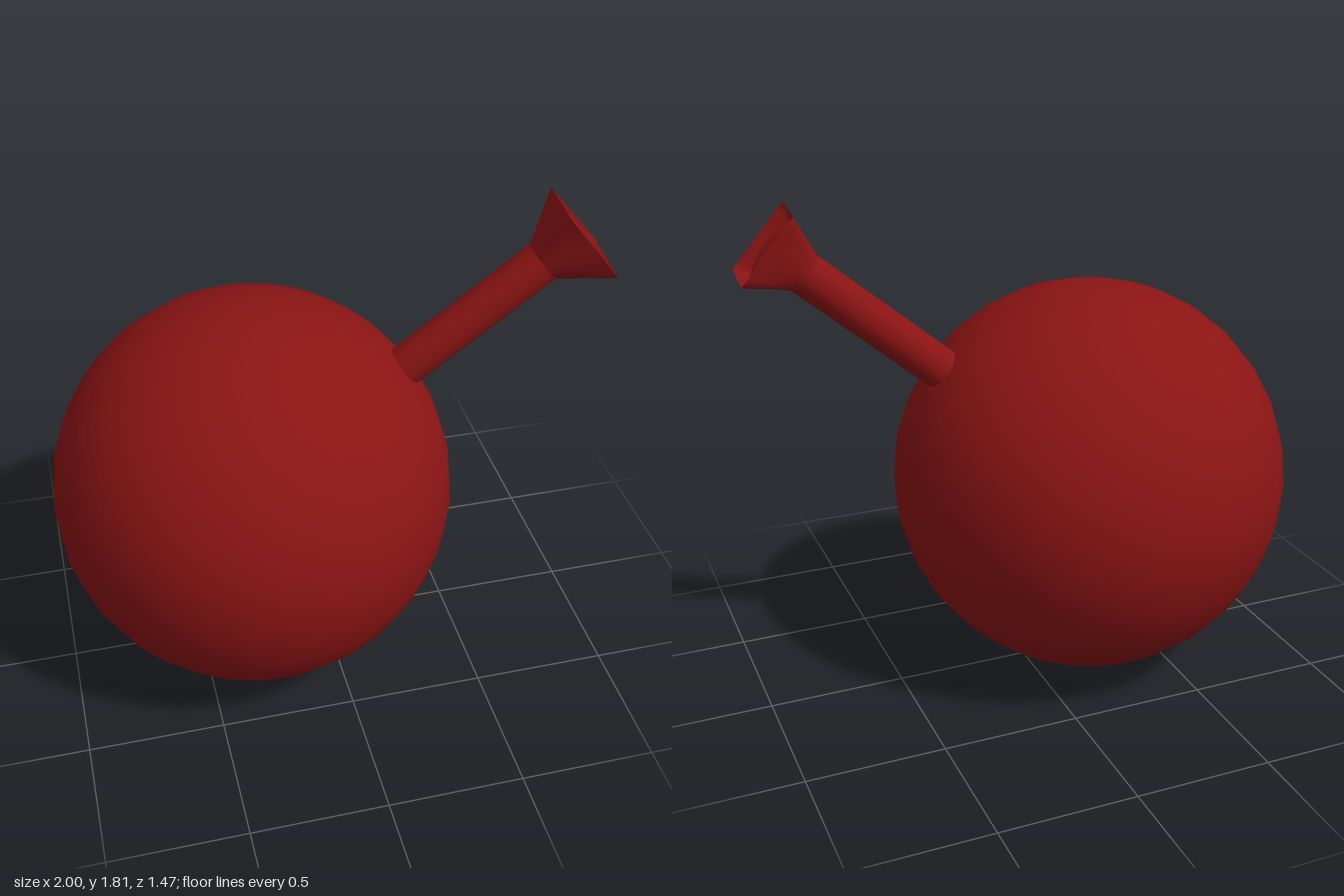
import * as THREE from 'three';

const V = (x, y, z) => new THREE.Vector3(x, y, z);

// Skin a list of equal-length closed loops with smooth normals
function loft(loops) {
  const n = loops[0].length, index = [];
  for (let i = 0; i < loops.length - 1; i++) {
    for (let j = 0; j < n; j++) {
      const a = i * n + j, b = i * n + (j + 1) % n;
      index.push(a, b, b + n, a, b + n, a + n);
    }
  }
  const geo = new THREE.BufferGeometry().setFromPoints(loops.flat());
  geo.setIndex(index);
  geo.computeVertexNormals();
  return geo;
}

export function createModel() {
  const group = new THREE.Group();
  const material = new THREE.MeshStandardMaterial({ color: 0x8b1414 });
  const add = (name, geo) => {
    const mesh = new THREE.Mesh(geo, material);
    mesh.name = name;
    group.add(mesh);
    return mesh;
  };

  // Round body
  const radius = 0.735, centre = V(-0.265, radius, 0);
  add('body', new THREE.SphereGeometry(radius, 32, 16)).position.copy(centre);

  // Four-cornered mouth of the flared head, counter-clockwise from outside
  const corners = [V(0.79, 1.81, 0.22), V(0.97, 1.585, 0.255), V(0.995, 1.59, -0.015), V(0.81, 1.81, -0.015)];
  const perSide = 8, rim = [];
  corners.forEach((c, k) => {
    for (let s = 0; s < perSide; s++) rim.push(c.clone().lerp(corners[(k + 1) % 4], s / perSide));
  });
  const mouth = V(0, 0, 0);
  corners.forEach((c) => mouth.addScaledVector(c, 0.25));

  // Round stalk rings, aligned with the mouth
  const neck = V(0.76, 1.59, 0.097);
  const axis = neck.clone().sub(centre).normalize();
  const root = centre.clone().addScaledVector(axis, 0.62);
  const circle = (p, r) => rim.map((q) => q.clone().sub(mouth).projectOnPlane(axis).setLength(r).add(p));
  const neckRing = circle(neck, 0.075);
  const stalk = [0, 0.35, 0.7, 0.97].map((t) => circle(root.clone().lerp(neck, t), 0.075));
  add('stalk', loft([...stalk, neckRing]));

  // Flare from the round neck to the square mouth
  const blend = (a, b, t) => a.map((p, i) => p.clone().lerp(b[i], t));
  add('flaredHead', loft([0, 0.25, 0.5, 0.75, 1].map((t) => blend(neckRing, rim, t))));

  // Shallow inner wall, deeper towards the front
  const inner = rim.map((p, i) => p.clone().lerp(neckRing[i], 0.12 + 0.22 * THREE.MathUtils.clamp(p.z / 0.24, 0, 1)));
  add('innerWall', loft([rim, inner]));

  // Gently domed floor of the recess
  const middle = V(0, 0, 0);
  inner.forEach((p) => middle.addScaledVector(p, 1 / inner.length));
  const floor = [0, 0.2, 0.4, 0.6, 0.8, 0.99].map((t) =>
    inner.map((p) => p.clone().lerp(middle, t).addScaledVector(axis, 0.03 * (1 - (1 - t) ** 2))));
  add('recessFloor', loft(floor));

  return group;
}
